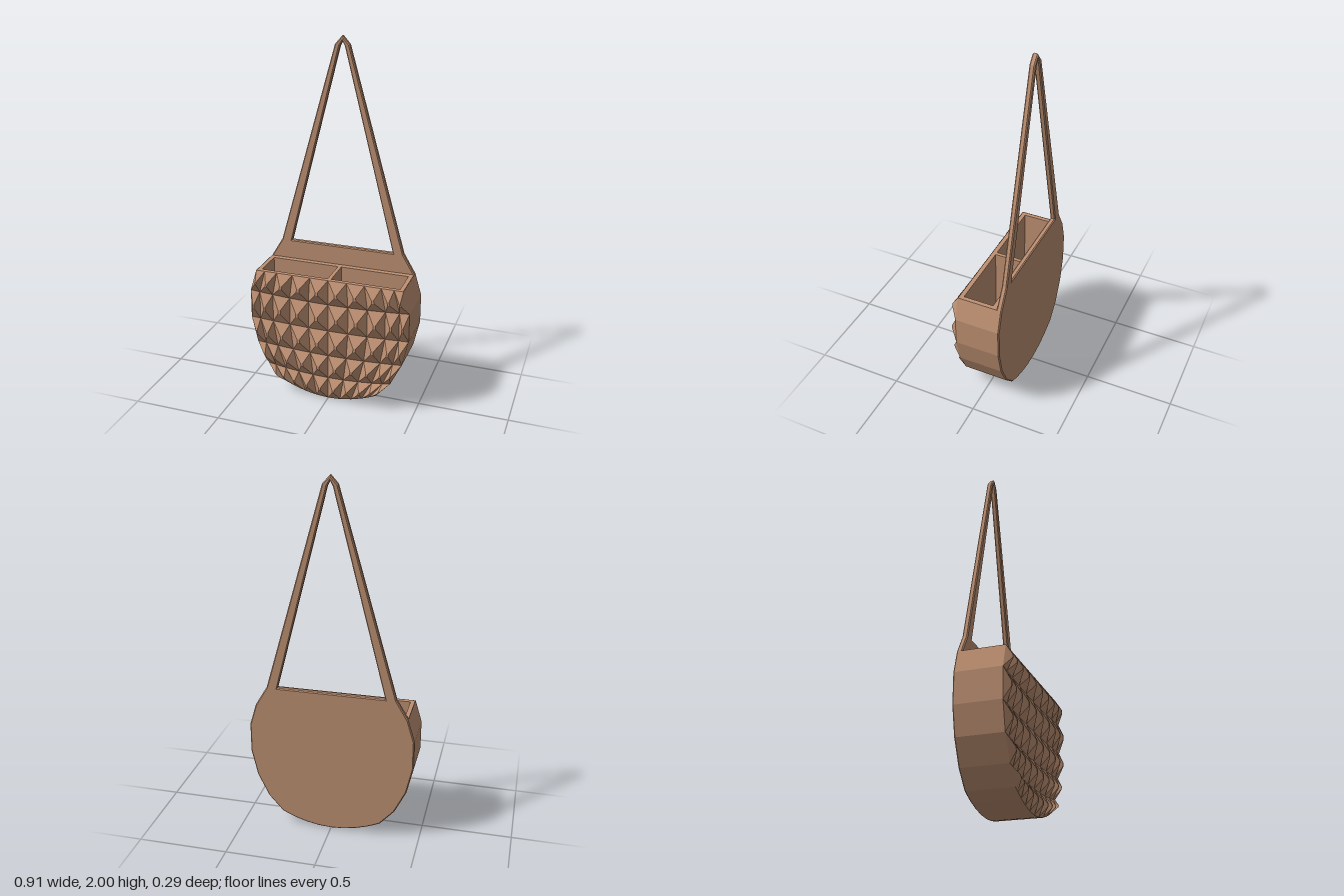
import * as THREE from 'three';

const material = new THREE.MeshStandardMaterial({ color: 0xbf9173, flatShading: true, side: THREE.DoubleSide });

// Stud rows from top to bottom: half width, height at the rim, height at the middle
const ROWS = [
  [0.42, 0.73, 0.73], [0.457, 0.605, 0.585], [0.457, 0.44, 0.425],
  [0.423, 0.29, 0.27], [0.36, 0.16, 0.13], [0.28, 0.07, 0],
];
const HALF_COLUMNS = [0, 0.25, 0.49, 0.71, 0.88, 1];
const COLUMNS = [...HALF_COLUMNS.slice(1).reverse().map((s) => -s), ...HALF_COLUMNS];

const BACK = -0.145, PLATE_FRONT = -0.115, FRONT = 0.11, PEAK = 0.145;
const RIM_Y = 0.73, FLOOR_Y = 0.3;

function gridPoint([halfWidth, edgeY, midY], s) {
  return new THREE.Vector2(halfWidth * s, midY + (edgeY - midY) * s * s);
}

function addMesh(group, name, geometry) {
  const mesh = new THREE.Mesh(geometry, material);
  mesh.name = name;
  group.add(mesh);
  return mesh;
}

function quadGeometry(quads) {
  const positions = [];
  for (const [a, b, c, d] of quads) {
    for (const p of [a, b, c, a, c, d]) positions.push(p.x, p.y, p.z);
  }
  const geometry = new THREE.BufferGeometry();
  geometry.setAttribute('position', new THREE.Float32BufferAttribute(positions, 3));
  geometry.computeVertexNormals();
  return geometry;
}

const at = (p, z) => new THREE.Vector3(p.x, p.y, z);

// Outline of the pouch, from the upper left rim round the bottom to the upper right rim
function pouchOutline() {
  const left = ROWS.slice(0, -1).map((row) => gridPoint(row, -1));
  const bottom = COLUMNS.map((s) => gridPoint(ROWS[ROWS.length - 1], s));
  const right = ROWS.slice(0, -1).map((row) => gridPoint(row, 1)).reverse();
  return [...left, ...bottom, ...right];
}

// Back plate and hanging loop, cut from one bevelled sheet
function backGeometry(outline) {
  const v = (x, y) => new THREE.Vector2(x, y);
  const shape = new THREE.Shape([
    ...outline,
    v(0.355, 0.84), v(0.04, 1.955), v(0, 2), v(-0.04, 1.955), v(-0.355, 0.84),
  ]);
  shape.holes.push(new THREE.Path([
    v(-0.295, 0.84), v(-0.014, 1.945), v(0, 1.972), v(0.014, 1.945), v(0.295, 0.84),
  ]));
  const bevel = 0.006;
  return new THREE.ExtrudeGeometry(shape, {
    depth: PLATE_FRONT - BACK - 2 * bevel,
    bevelThickness: bevel, bevelSize: bevel, bevelOffset: -bevel, bevelSegments: 1,
  }).translate(0, 0, BACK + bevel);
}

// Faceted wall that follows the outline
function wallGeometry(outline) {
  const quads = [];
  for (let i = 0; i < outline.length - 1; i++) {
    const a = outline[i], b = outline[i + 1];
    quads.push([at(a, PLATE_FRONT - 0.01), at(b, PLATE_FRONT - 0.01), at(b, FRONT), at(a, FRONT)]);
  }
  return quadGeometry(quads);
}

// One blunt pyramid for each cell of the warped grid
function studGeometry() {
  const quads = [];
  for (let r = 0; r < ROWS.length - 1; r++) {
    for (let c = 0; c < COLUMNS.length - 1; c++) {
      const base = [
        gridPoint(ROWS[r + 1], COLUMNS[c]), gridPoint(ROWS[r + 1], COLUMNS[c + 1]),
        gridPoint(ROWS[r], COLUMNS[c + 1]), gridPoint(ROWS[r], COLUMNS[c]),
      ];
      const centre = new THREE.Vector2();
      base.forEach((p) => centre.addScaledVector(p, 0.25));
      const low = base.map((p) => at(p, FRONT));
      const high = base.map((p) => at(p.clone().lerp(centre, 0.86), PEAK));
      for (let k = 0; k < 4; k++) {
        const n = (k + 1) % 4;
        quads.push([low[k], low[n], high[n], high[k]]);
      }
      quads.push(high);
    }
  }
  return quadGeometry(quads);
}

// Pocket walls and rim: a block with two rectangular openings
function pocketGeometry() {
  const rectangle = (Type, x0, x1, y0, y1) => new Type([
    new THREE.Vector2(x0, y0), new THREE.Vector2(x1, y0),
    new THREE.Vector2(x1, y1), new THREE.Vector2(x0, y1),
  ]);
  const shape = rectangle(THREE.Shape, -0.418, 0.418, -FRONT + 0.001, -PLATE_FRONT);
  for (const [x0, x1] of [[-0.395, -0.01], [0.01, 0.395]]) {
    shape.holes.push(rectangle(THREE.Path, x0, x1, -0.085, 0.085));
  }
  return new THREE.ExtrudeGeometry(shape, { depth: RIM_Y - FLOOR_Y, bevelEnabled: false })
    .rotateX(-Math.PI / 2).translate(0, FLOOR_Y, 0);
}

export function createModel() {
  const group = new THREE.Group();
  group.name = 'hangingPocket';
  const outline = pouchOutline();

  addMesh(group, 'backPlateAndLoop', backGeometry(outline));
  addMesh(group, 'pouchWall', wallGeometry(outline));
  addMesh(group, 'frontStuds', studGeometry());
  addMesh(group, 'pocketWalls', pocketGeometry());
  addMesh(group, 'pocketFloor', new THREE.BoxGeometry(0.8, 0.01, 0.19)).position.y = FLOOR_Y - 0.005;

  return group;
}
